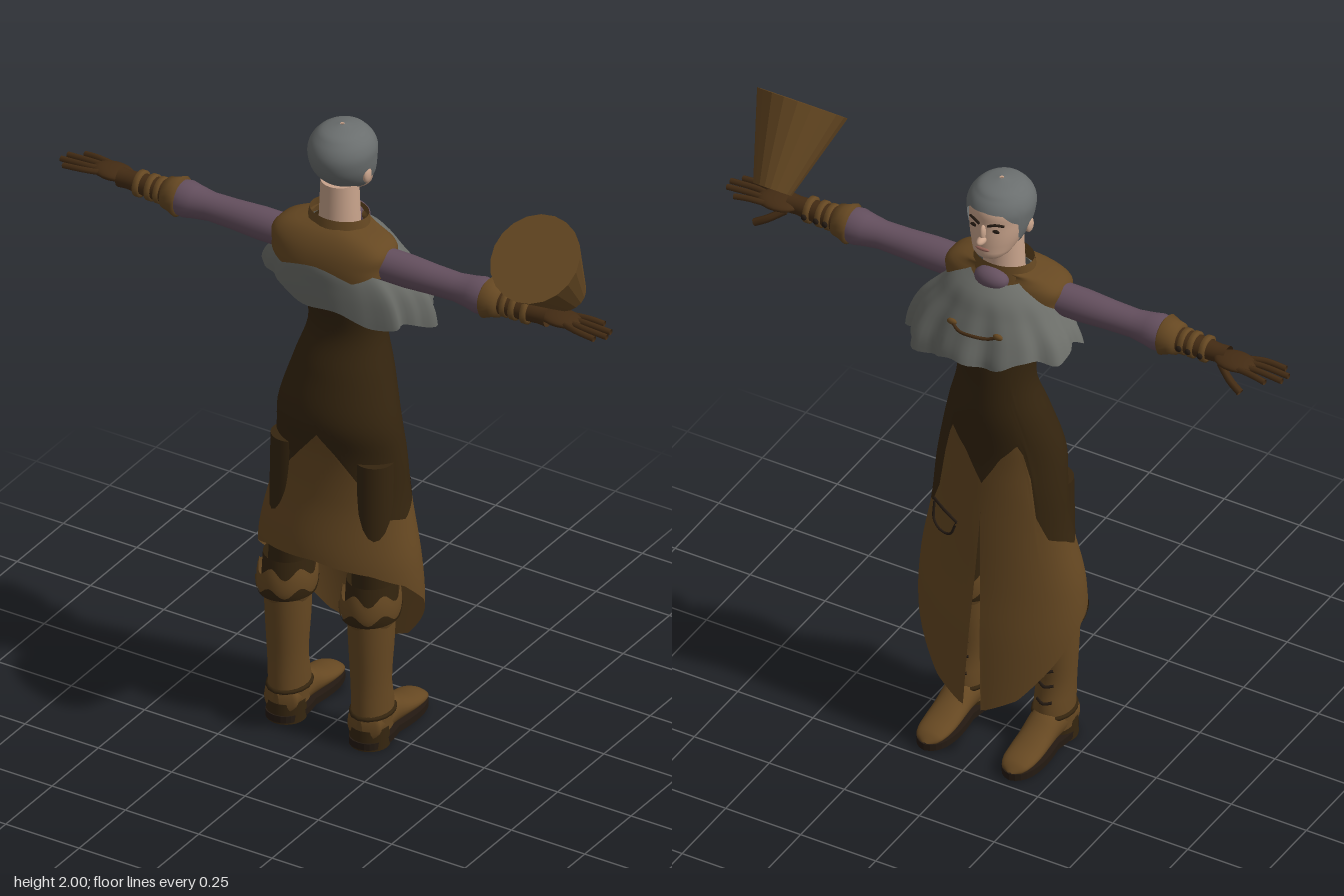
import * as THREE from 'three';
import { mergeVertices } from 'three/addons/utils/BufferGeometryUtils.js';

const mat = (name, color) => new THREE.MeshStandardMaterial({ name, color, side: THREE.DoubleSide });

export function createModel() {
  const root = new THREE.Group();
  const brown = mat('brown leather', 0x664822), dark = mat('dark bodice', 0x35250f);
  const glove = mat('glove leather', 0x442c14), purple = mat('mauve sleeve', 0x65505f);
  const grey = mat('grey cape', 0x6b6d68), hairMat = mat('grey hair', 0x6a6e6e);
  const skin = mat('skin', 0xc9a48c), ink = mat('dark trim', 0x241a12), lip = mat('lips', 0x99665a);

  const add = (name, geo, material, parent = root) => {
    const m = new THREE.Mesh(geo, material);
    m.name = name;
    parent.add(m);
    return m;
  };
  // Sheet of quads from a rule f(u, v) -> [x, y, z], welded and smooth
  const sheet = (f, nu, nv) => {
    const pos = [], idx = [];
    for (let j = 0; j <= nv; j++) for (let i = 0; i <= nu; i++) pos.push(...f(i / nu, j / nv));
    for (let j = 0; j < nv; j++) for (let i = 0; i < nu; i++) {
      const a = j * (nu + 1) + i, c = a + nu + 1;
      idx.push(a, a + 1, c, a + 1, c + 1, c);
    }
    let g = new THREE.BufferGeometry();
    g.setAttribute('position', new THREE.Float32BufferAttribute(pos, 3));
    g.setIndex(idx);
    g = mergeVertices(g, 1e-5);
    g.computeVertexNormals();
    return g;
  };
  // Smooth lookup in rows [t, ...values], t ascending
  const smooth = rows => {
    const n = rows[0].length - 1;
    const k = new THREE.CubicInterpolant(rows.map(r => r[0]), rows.flatMap(r => r.slice(1)), n, new Float32Array(n));
    return t => [...k.evaluate(t)];
  };
  // Straight-line lookup by angle from the face side, mirrored left and right
  const edge = rows => a => {
    a = Math.min(a, 2 * Math.PI - a);
    let i = 1;
    while (i < rows.length - 1 && rows[i][0] < a) i++;
    const [p, q] = [rows[i - 1], rows[i]];
    return p[1] + (q[1] - p[1]) * Math.min(1, Math.max(0, (a - p[0]) / (q[0] - p[0])));
  };
  // Oval section surface: rows [y, half width, back z, face z]
  const oval = (rows, k = 1, power = 1) => {
    const at = smooth(rows);
    const pw = s => Math.sign(s) * Math.abs(s) ** power;
    return (a, y) => {
      const [w, b, f] = at(y);
      return [k * w * pw(Math.sin(a)), y, (b + f) / 2 - k * (b - f) / 2 * pw(Math.cos(a))];
    };
  };
  const wrap = (surf, top, bottom, nu, nv, ease = v => v) => sheet((u, v) => {
    const a = u * Math.PI * 2, t = top(a);
    return surf(a, t + (bottom(a) - t) * ease(v));
  }, nu, nv);
  const V = p => new THREE.Vector3(...p);
  const line = (name, pts, r, m, parent) =>
    add(name, new THREE.TubeGeometry(new THREE.CatmullRomCurve3(pts.map(V)), 16, r, 6), m, parent);
  const ball = (name, p, s, m, parent) => {
    const b = add(name, new THREE.SphereGeometry(1, 18, 12), m, parent);
    b.position.set(...p);
    b.scale.set(...s);
    return b;
  };
  const lathe = (pts, n = 24) => new THREE.LatheGeometry(pts.map(p => new THREE.Vector2(...p)), n);

  // Bodice and skirt share one body surface
  const body = oval([[0.19, .23, .12, -.20], [0.45, .265, .14, -.185], [0.6, .26, .14, -.17], [0.8, .222, .105, -.155],
    [0.95, .208, .10, -.145], [1.05, .195, .118, -.142], [1.2, .155, .082, -.155], [1.32, .12, .045, -.155],
    [1.45, .125, .07, -.155], [1.6, .16, .08, -.14]]);
  const seam = edge([[0, .97], [.3, 1.07], [.65, 1.13], [.75, 1.08], [.85, .88], [1.05, .8], [1.4, .78], [1.7, .75],
    [2.1, .76], [2.54, .87], [Math.PI, 1.02]]);
  const hem = edge([[0, .19], [.2, .2], [.6, .25], [1, .36], [1.35, .46], [1.9, .55], [2.4, .59], [Math.PI, .61]]);
  add('bodice', wrap(body, () => 1.6, seam, 96, 32), dark);
  add('skirt', sheet((u, v) => {
    const a = u * Math.PI * 2, t = seam(a), p = body(a, t + (hem(a) - t) * v);
    const gap = Math.max(0, .85 - p[1]) * .045; // slit at the face side
    if (Math.abs(p[0]) < gap && Math.cos(a) > 0) p[0] = u < .5 ? gap : -gap;
    return p;
  }, 96, 24), brown);
  const onBody = ([a, y]) => body(a, y).map((c, i) => i === 1 ? c : c * 1.015);
  line('pocketEdge', [[.35, .8], [.6, .815], [.95, .82]].map(onBody), .005, ink);
  line('pocketFlap', [[.38, .79], [.45, .75], [.65, .74], [.85, .755], [.93, .81]].map(onBody), .004, ink);

  // Cape with rippled folds
  const capeBase = oval([[1.37, .275, .105, -.225], [1.45, .27, .11, -.22], [1.52, .245, .112, -.195],
    [1.58, .195, .11, -.17], [1.64, .14, .085, -.14], [1.68, .075, .05, -.095]]);
  const cape = (a, y) => {
    const p = capeBase(a, y), r = 1 + Math.max(0, 1.64 - y) * (.22 * Math.sin(a * 9) + .12 * Math.sin(a * 17 + 1));
    return [p[0] * r, y, p[2] * (Math.cos(a) > 0 ? r : 1)];
  };
  const capeHem = a => 1.445 - .045 * Math.sin(a) + .012 * Math.sin(a * 7);
  add('cape', wrap(cape, a => 1.67, capeHem, 96, 18), grey);
  const strap = [-.35, -.2, 0, .2, .35].map((a, i) => {
    const p = cape(a, 1.55 - (i % 4 ? .015 : 0));
    return [p[0], p[1], p[2] - .006];
  });
  line('capeStrap', strap, .005, glove);
  for (const p of [strap[0], strap[4]]) ball('capeToggle', p, [.016, .01, .008], brown);

  // Yoke over the shoulders with a zigzag lower edge, and its collar
  const yoke = oval([[1.5, .185, .122, -.09], [1.6, .188, .12, -.085], [1.655, .185, .1, -.075],
    [1.685, .13, .075, -.065], [1.695, .085, .06, -.075]], 1, .65);
  add('yoke', wrap(yoke, () => 1.695, a => 1.565 + .025 * Math.abs(((a * 6 / Math.PI) % 2) - 1), 96, 14), brown);
  add('collar', wrap(oval([[1.67, .1, .07, -.085], [1.72, .092, .06, -.08]]), () => 1.72, () => 1.67, 32, 3), brown);
  ball('neckScarf', [0, 1.675, -.085], [.055, .035, .035], purple);

  // Head, hair, face
  const headRows = [[1.765, .02, -.075, -.115], [1.78, .048, -.04, -.135], [1.81, .068, .015, -.138], [1.85, .083, .055, -.136],
    [1.89, .09, .072, -.13], [1.93, .09, .072, -.126], [1.965, .072, .052, -.105], [1.985, .045, .025, -.077], [1.995, .006, -.02, -.032]];
  const ease = v => v * v * (1.6 - .6 * v);
  add('head', wrap(oval(headRows), () => 1.995, () => 1.765, 40, 28, ease), skin);
  const hairline = edge([[0, 1.935], [.6, 1.93], [.85, 1.905], [1.1, 1.89], [1.25, 1.84], [1.6, 1.825], [1.9, 1.8], [Math.PI, 1.795]]);
  const hair = add('hair', wrap(oval(headRows, 1.08), () => 1.995, hairline, 64, 24, ease), hairMat);
  hair.position.y = .004;
  add('neck', new THREE.CylinderGeometry(.056, .062, .15, 24), skin).position.set(0, 1.745, -.012);
  ball('nose', [0, 1.846, -.142], [.013, .013, .024], skin);
  ball('noseBridge', [0, 1.868, -.135], [.009, .028, .013], skin);
  ball('mouth', [0, 1.812, -.137], [.023, .006, .006], lip);
  for (const s of [1, -1]) {
    ball('ear', [s * .088, 1.858, -.02], [.011, .026, .018], skin);
    ball('eye', [s * .035, 1.878, -.123], [.014, .006, .005], ink);
    line('brow', [[s * .014, 1.895, -.132], [s * .035, 1.902, -.126], [s * .056, 1.895, -.11]], .004, ink);
  }

  // Arms and hands, built along +x and mirrored by a half turn of the lathe axis
  for (const s of [1, -1]) {
    const arm = new THREE.Group();
    arm.name = s > 0 ? 'leftArm' : 'rightArm';
    arm.position.set(0, 1.603, .015);
    root.add(arm);
    const along = (name, pts, m) => {
      add(name, lathe(pts.map(([x, r]) => [r, x])), m, arm).rotation.z = -s * Math.PI / 2;
    };
    along('sleeve', [[.15, .05], [.25, .05], [.34, .045], [.42, .043], [.47, .05], [.5, .056], [.53, .052]], purple);
    along('sleeveCuff', [[.515, .03], [.515, .05], [.525, .062], [.55, .052], [.57, .048], [.575, .03]], brown);
    along('gloveForearm', [[.56, .038], [.59, .036], [.64, .033], [.7, .028], [.73, .03]], glove);
    for (const x of [.59, .62, .66]) {
      along('wristStrap', [[x - .01, .033], [x - .007, .041], [x + .007, .041], [x + .01, .033]], brown);
      ball('strapBuckle', [s * x, 0, -.043], [.009, .01, .006], ink, arm);
    }
    ball('palm', [s * .762, .002, -.013], [.067, .018, .046], glove, arm);
    [[-.05, .885], [-.023, .925], [.004, .93], [.03, .905]].forEach(([z, end]) =>
      line('finger', [[s * .78, .003, z * .7 - .008], [s * .84, .004, z], [s * end, -.001, z * 1.1]], .0095, glove, arm));
    line('thumb', [[s * .725, -.005, -.035], [s * .77, -.035, -.058], [s * .81, -.058, -.068]], .012, glove, arm);
  }

  // Legs and boots
  const shaft = oval([[.05, .056, .105, -.035], [.12, .058, .108, -.04], [.2, .058, .108, -.022], [.35, .066, .115, -.03], [.5, .07, .12, -.035]]);
  const cuff = oval([[.42, .077, .13, -.045], [.44, .084, .14, -.05], [.5, .086, .14, -.05], [.53, .08, .132, -.045]]);
  const foot = smooth([[-.225, .008, .03], [-.215, .03, .045], [-.19, .045, .058], [-.14, .052, .07], [-.08, .052, .095],
    [-.03, .052, .125], [.06, .054, .13], [.1, .04, .12], [.108, .01, .1]]);
  const sole = new THREE.Shape();
  sole.moveTo(0, -.115);
  sole.bezierCurveTo(.07, -.115, .062, -.03, .05, .03);
  sole.bezierCurveTo(.065, .12, .065, .22, 0, .23);
  sole.bezierCurveTo(-.065, .22, -.065, .12, -.05, .03);
  sole.bezierCurveTo(-.062, -.03, -.07, -.115, 0, -.115);
  for (const s of [1, -1]) {
    const leg = new THREE.Group();
    leg.name = s > 0 ? 'leftLeg' : 'rightLeg';
    leg.position.x = s * .142;
    root.add(leg);
    const thigh = add('trouserLeg', new THREE.CylinderGeometry(.06, .068, .5, 24), dark, leg);
    thigh.position.set(0, .69, .025);
    add('bootShaft', wrap(shaft, () => .5, () => .05, 32, 12), brown, leg);
    add('bootCuff', wrap(cuff, a => .515 + .015 * Math.cos(a * 6), a => .425 + .01 * Math.cos(a * 5), 48, 6), brown, leg);
    add('cuffLining', wrap(oval([[.48, .074, .125, -.038], [.55, .072, .118, -.035]]), () => .55, () => .48, 32, 2), dark, leg);
    add('cuffTrim', wrap((a, y) => cuff(a, y).map((c, i) => i === 1 ? c : c * 1.03),
      a => .455 + .015 * Math.cos(a * 6), () => .43, 48, 2), dark, leg);
    add('foot', sheet((u, v) => {
      const a = u * Math.PI * 2, z = -.225 + v * .333, [w, top] = foot(z);
      return [-w * Math.sin(a), .02 + (top - .02) * (.5 - .5 * Math.cos(a)), z];
    }, 24, 24), brown, leg);
    const soleMesh = add('sole', new THREE.ExtrudeGeometry(sole, { depth: .022, bevelEnabled: false, curveSegments: 10 }), ink, leg);
    soleMesh.rotation.x = -Math.PI / 2;
    soleMesh.position.y = .006;
    add('heel', new THREE.CylinderGeometry(.058, .06, .065, 24), dark, leg).position.set(0, .0325, .052);
    line('ankleStrap', Array.from({ length: 13 }, (_, i) => shaft(i * Math.PI / 6, .105)), .008, dark, leg);
    for (let i = 0; i < 5; i++) {
      const y = .16 + i * .055, p = shaft(0, y);
      line('bootLace', [[-.025, y, p[2] + .006], [0, y - .006, p[2] - .004], [.025, y, p[2] + .006]], .005, ink, leg);
    }
  }

  // Tapered bucket balanced above the left hand, with flat facets
  const bucketGeo = new THREE.CylinderGeometry(.139, .059, .264, 20).toNonIndexed();
  bucketGeo.computeVertexNormals();
  const bucket = add('bucket', bucketGeo, brown);
  bucket.position.set(.76, 1.771, .051);
  bucket.rotation.x = .71;
  return root;
}
